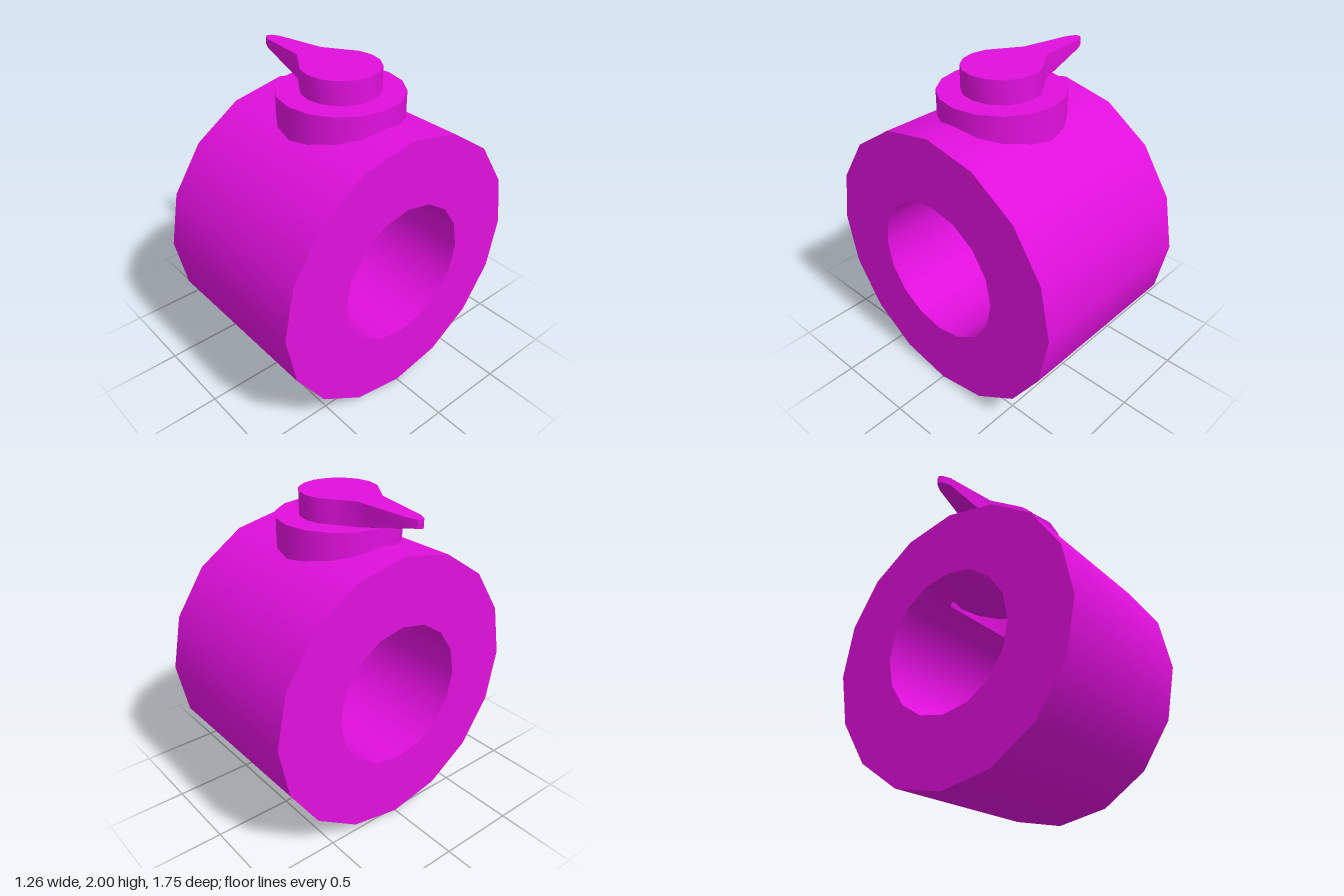
import * as THREE from 'three';
import { toCreasedNormals } from 'three/addons/utils/BufferGeometryUtils.js';

const SIDES = 16, CY = 0.875, OUTER = 0.875, BORE = 0.45;
const X0 = -0.52, X1 = 0.63, AXIS = 0.055;        // body ends and collar axis
const COLLAR = 0.375, KNOB = 0.235;
const CUT = { y: 0.40, z: 0.196 };                // pocket floor height and where it meets the bore

const ring = r => Array.from({ length: SIDES }, (_, i) => {
  const a = i / SIDES * Math.PI * 2;
  return new THREE.Vector2(r * Math.sin(a), r * Math.cos(a));   // (z, y)
});

// Bore wall in strips along x, leaving the pocket opening at the top
function boreGeometry() {
  const pts = ring(BORE);
  pts.splice(2, 0, new THREE.Vector2(CUT.z, CUT.y));
  pts.splice(pts.length - 1, 0, new THREE.Vector2(-CUT.z, CUT.y));
  const pos = [], nor = [];
  const open = p => p.y > 0 && Math.abs(p.x) <= CUT.z + 1e-4;
  const half = p => Math.sqrt(COLLAR ** 2 - p.x ** 2);
  const strip = (p, q, pa, pb, qa, qb) => {
    for (const [x, v] of [[pa, p], [pb, p], [qb, q], [pa, p], [qb, q], [qa, q]]) {
      pos.push(x, v.y, v.x);
      const l = v.length();
      nor.push(0, -v.y / l, -v.x / l);
    }
  };
  pts.forEach((p, i) => {
    const q = pts[(i + 1) % pts.length];
    if (open(p) && open(q)) {
      strip(p, q, X0, AXIS - half(p), X0, AXIS - half(q));
      strip(p, q, AXIS + half(p), X1, AXIS + half(q), X1);
    } else strip(p, q, X0, X1, X0, X1);
  });
  const g = new THREE.BufferGeometry();
  g.setAttribute('position', new THREE.Float32BufferAttribute(pos, 3));
  g.setAttribute('normal', new THREE.Float32BufferAttribute(nor, 3));
  return g;
}

// Pocket wall whose lower rim follows the bore
function pocketGeometry(top) {
  const h = top - CY - CUT.y;
  const g = new THREE.CylinderGeometry(COLLAR, COLLAR, h, SIDES, 1, true);
  g.translate(AXIS, CY + CUT.y + h / 2, 0);
  const p = g.attributes.position;
  for (let i = 0; i < p.count; i++) {
    if (p.getY(i) > top - 0.01) continue;
    const z = p.getZ(i);
    const bore = Math.sqrt(Math.max(0, BORE ** 2 - z * z));
    p.setY(i, CY + Math.max(CUT.y, bore));
  }
  return g;
}

// Round knob and tapering lever as one outline, thinned towards the tip
function handleGeometry() {
  const base = 1.855, top = 2;
  const outline = [];
  for (let k = -6; k <= 6; k++) {
    const a = k * Math.PI / 8;
    outline.push(new THREE.Vector2(AXIS + KNOB * Math.cos(a), KNOB * Math.sin(a)));
  }
  const edge = [[-0.225, 0.09], [-0.29, 0.082], [-0.57, 0.045], [-0.62, 0.022]];
  edge.forEach(([x, z]) => outline.push(new THREE.Vector2(x, z)));
  outline.push(new THREE.Vector2(-0.635, 0));
  edge.slice().reverse().forEach(([x, z]) => outline.push(new THREE.Vector2(x, -z)));
  const g = new THREE.ExtrudeGeometry(new THREE.Shape(outline), { depth: top - base, bevelEnabled: false });
  g.rotateX(-Math.PI / 2);
  g.translate(0, base, 0);
  const p = g.attributes.position;
  for (let i = 0; i < p.count; i++) {
    const x = p.getX(i);
    if (x > -0.23) continue;
    const t = (-0.29 - x) / 0.345;
    if (p.getY(i) > 1.93) p.setY(i, top - 0.003 - 0.014 * t);
    else p.setY(i, 1.915 + 0.02 * Math.max(0, t));
  }
  return toCreasedNormals(g, 0.5);
}

export function createModel() {
  const group = new THREE.Group();
  const color = 0xe010dc;
  const mat = new THREE.MeshStandardMaterial({ color });
  const inside = new THREE.MeshStandardMaterial({ color, side: THREE.BackSide });
  const add = (name, geometry, material = mat) => {
    const m = new THREE.Mesh(geometry, material);
    m.name = name;
    group.add(m);
    return m;
  };

  // Ring body lying along x
  const shell = new THREE.CylinderGeometry(OUTER, OUTER, X1 - X0, SIDES, 1, true);
  shell.rotateZ(Math.PI / 2);
  shell.translate((X0 + X1) / 2, CY, 0);
  add('bodyShell', shell);
  add('boreWall', boreGeometry()).position.y = CY;

  // Flat end faces
  const face = new THREE.Shape(ring(OUTER));
  face.holes.push(new THREE.Path(ring(BORE)));
  for (const [name, x, s] of [['leftEndFace', X1, 1], ['rightEndFace', X0, -1]]) {
    const m = add(name, new THREE.ShapeGeometry(face));
    m.rotation.y = s * Math.PI / 2;
    m.position.set(x, CY, 0);
  }

  // Collar on top and the pocket beneath it
  const collarBase = 1.45, collarTop = 1.857;
  add('collar', new THREE.CylinderGeometry(COLLAR, COLLAR, collarTop - collarBase, SIDES))
    .position.set(AXIS, (collarBase + collarTop) / 2, 0);
  add('pocketWall', pocketGeometry(collarBase), inside);

  // Knob with lever
  add('leverHandle', handleGeometry());
  return group;
}
